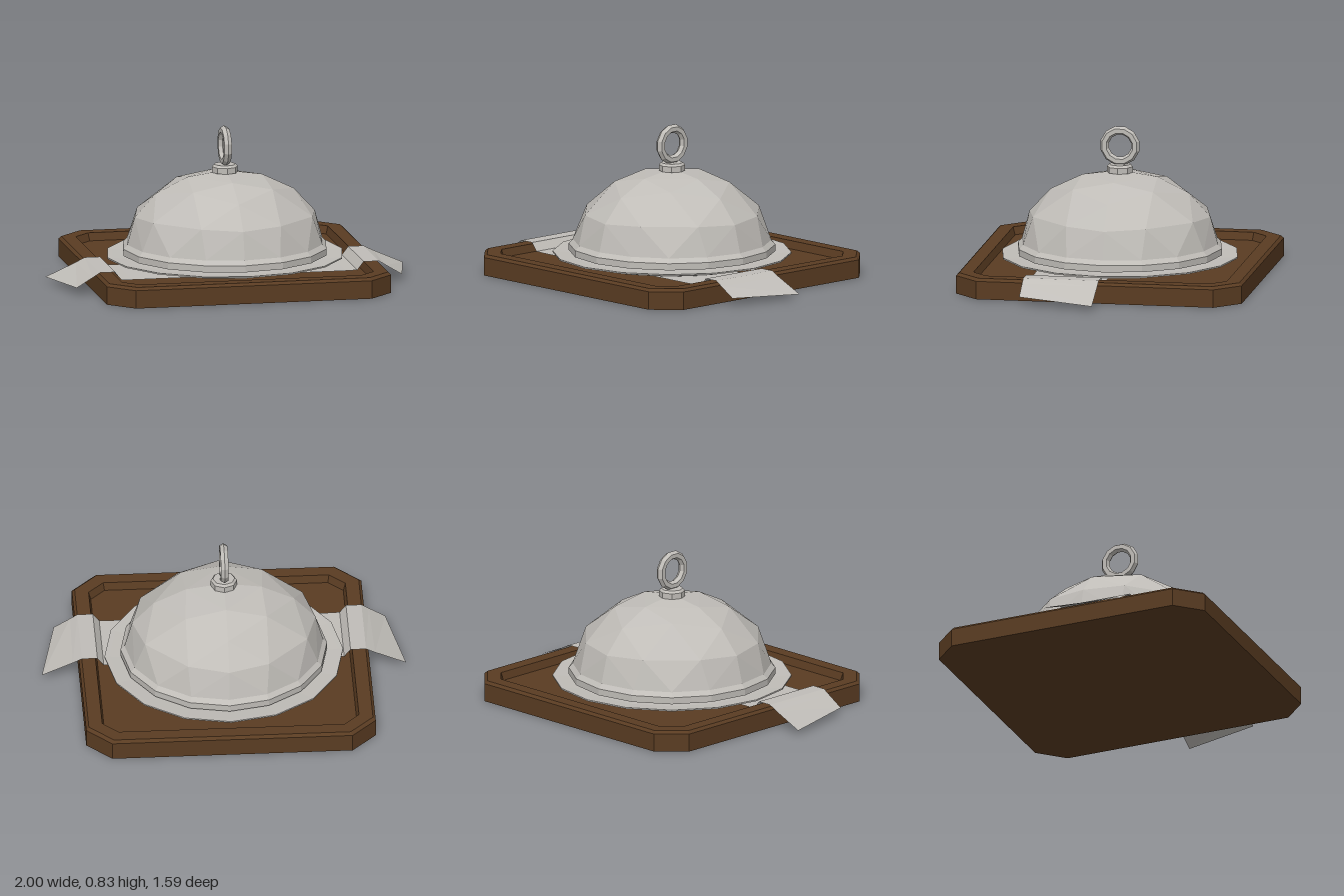
import * as THREE from 'three';

const wood = new THREE.MeshStandardMaterial({ name: 'dark wood', color: 0x5a3c22, flatShading: true });
const silver = new THREE.MeshStandardMaterial({ name: 'silver grey', color: 0xc0bdb8, flatShading: true, side: THREE.DoubleSide });

const V = (x, y, z) => new THREE.Vector3(x, y, z);

function fromTriangles(points) {
  const g = new THREE.BufferGeometry().setFromPoints(points);
  g.computeVertexNormals();
  return g;
}

// Square outline with cut corners, counter-clockwise seen from above
function cutSquare([half, cut, y]) {
  const a = half, b = half - cut;
  return [[a, b], [a, -b], [b, -a], [-b, -a], [-a, -b], [-a, b], [-b, a], [b, a]].map(([x, z]) => V(x, y, z));
}

// Skin through a list of outlines running from the bottom centre to the top centre
function trayGeometry(levels) {
  const rings = levels.map(cutSquare), tris = [];
  for (let i = 0; i + 1 < rings.length; i++) {
    for (let j = 0; j < 8; j++) {
      const k = (j + 1) % 8, lo = rings[i], hi = rings[i + 1];
      tris.push(lo[j], lo[k], hi[k], lo[j], hi[k], hi[j]);
    }
  }
  return fromTriangles(tris);
}

// Half of an octahedron sphere, each edge halved twice, scaled to the dome
function domeGeometry(radius, height) {
  const tris = [];
  const split = (a, b, c, depth) => {
    if (depth === 0) { tris.push(a, b, c); return; }
    const mid = (p, q) => p.clone().add(q).normalize();
    const ab = mid(a, b), bc = mid(b, c), ca = mid(c, a);
    split(a, ab, ca, depth - 1);
    split(ab, b, bc, depth - 1);
    split(ca, bc, c, depth - 1);
    split(ab, bc, ca, depth - 1);
  };
  const sides = [V(0, 0, 1), V(1, 0, 0), V(0, 0, -1), V(-1, 0, 0)];
  sides.forEach((s, i) => split(V(0, 1, 0), s, sides[(i + 1) % 4], 2));
  return fromTriangles(tris).scale(radius, height, radius);
}

// Cloth strip lying across the tray and hanging over both sides with slanted ends
function stripGeometry() {
  // x at the back edge, x at the front edge, height at the back, height at the front
  const half = [
    [0.60, 0.60, 0.078, 0.078], [0.66, 0.66, 0.08, 0.08], [0.695, 0.695, 0.125, 0.125],
    [0.78, 0.78, 0.125, 0.125], [0.83, 0.82, 0.1, 0.1], [1.0, 0.91, 0.025, 0.045],
  ];
  const mirrored = half.map(([a, b, c, d]) => [-a, -b, c, d]).reverse();
  const rows = [...mirrored, ...half], n = rows.length;
  const g = new THREE.PlaneGeometry(1, 1, n - 1, 1), p = g.attributes.position;
  rows.forEach(([xb, xf, yb, yf], i) => {
    p.setXYZ(i, xb, yb, -0.02);
    p.setXYZ(i + n, xf, yf, 0.4);
  });
  g.computeVertexNormals();
  return g;
}

const lathe = (points, sides) =>
  new THREE.LatheGeometry(points.map(([r, y]) => new THREE.Vector2(r, y)), sides);

export function createModel() {
  const model = new THREE.Group();
  model.name = 'servingTray';
  const add = (name, geometry, material, parent = model) => {
    const mesh = new THREE.Mesh(geometry, material);
    mesh.name = name;
    parent.add(mesh);
    return mesh;
  };

  // Wooden tray with bevelled rim and sunken floor
  add('tray', trayGeometry([
    [0, 0, 0], [0.795, 0.135, 0], [0.795, 0.135, 0.1], [0.78, 0.13, 0.115],
    [0.705, 0.085, 0.115], [0.693, 0.08, 0.072], [0, 0, 0.072],
  ]), wood);

  add('napkin', stripGeometry(), silver);

  // Round plate
  add('plate', lathe([
    [0, 0.08], [0.5, 0.08], [0.655, 0.114], [0.655, 0.122], [0.63, 0.12], [0.55, 0.112], [0, 0.112],
  ], 16), silver);

  // Domed cover with its rim, knob and ring
  const cover = new THREE.Group();
  cover.name = 'cover';
  model.add(cover);
  add('coverRim', lathe([[0, 0.128], [0.567, 0.128], [0.567, 0.165], [0.542, 0.19], [0.5, 0.19]], 16), silver, cover);
  add('coverDome', domeGeometry(0.545, 0.395), silver, cover).position.y = 0.19;
  add('knobBase', lathe([[0, 0.57], [0.072, 0.575], [0.072, 0.607], [0.06, 0.62], [0, 0.62]], 8), silver, cover);

  const ring = add('ringHandle', new THREE.TorusGeometry(0.087, 0.024, 6, 12).rotateZ(Math.PI / 12), silver, cover);
  ring.rotation.y = Math.PI / 2;
  ring.position.y = 0.722;

  return model;
}
